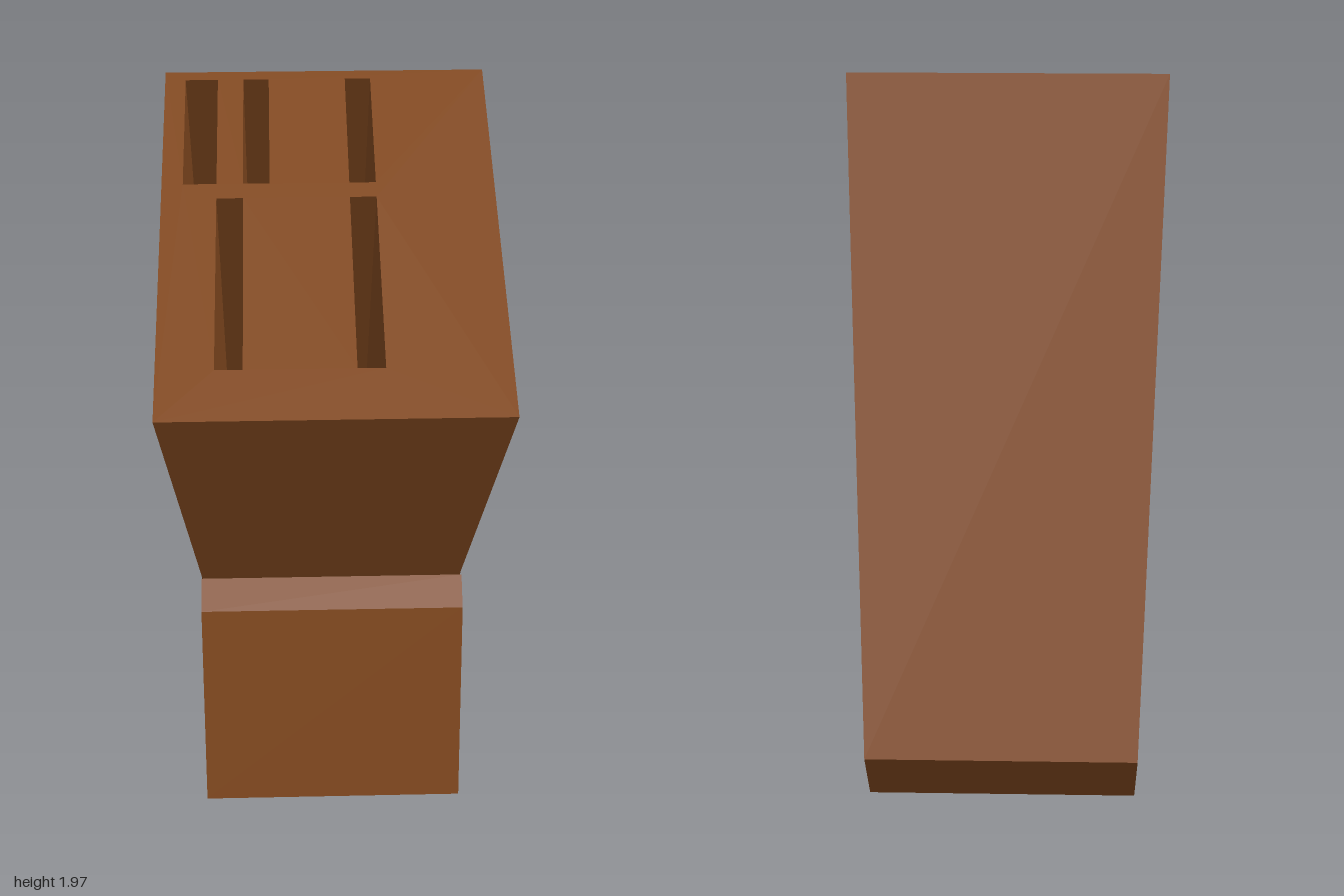
import * as THREE from 'three';

const wood = new THREE.MeshStandardMaterial({ color: 0x80481f, roughness: 0.8, flatShading: true });

// Flat-sided surface from a list of convex polygons (corners counter-clockwise)
function polygons(faces) {
  const pos = [];
  for (const f of faces)
    for (let i = 1; i < f.length - 1; i++) pos.push(...f[0], ...f[i], ...f[i + 1]);
  const g = new THREE.BufferGeometry();
  g.setAttribute('position', new THREE.Float32BufferAttribute(pos, 3));
  g.computeVertexNormals();
  return g;
}

// Prism from a (z, y) side profile, spanning -w..w in x
function prism(profile, w) {
  const shape = new THREE.Shape(profile.map(p => new THREE.Vector2(...p)));
  const g = new THREE.ExtrudeGeometry(shape, { depth: 2 * w, bevelEnabled: false });
  return g.rotateY(-Math.PI / 2).translate(w, 0, 0);
}

function add(group, name, geometry) {
  const m = new THREE.Mesh(geometry, wood);
  m.name = name;
  group.add(m);
}

// Sloping top: height as a function of z
const TOP = { w: 0.47, front: 1, back: -0.16, yFront: 1.48, yBack: 1.97 };
const topY = z => TOP.yFront + (TOP.front - z) * (TOP.yBack - TOP.yFront) / (TOP.front - TOP.back);

// Knife slots: x0, x1, z0, z1 on the top face
const slots = [
  [-0.41, -0.315, -0.13, 0.25],
  [-0.24, -0.165, -0.13, 0.25],
  [0.06, 0.135, -0.13, 0.25],
  [-0.315, -0.24, 0.30, 0.85],
  [0.06, 0.135, 0.30, 0.85],
];
const corners = ([x0, x1, z0, z1]) => [[x0, z1], [x1, z1], [x1, z0], [x0, z0]];

export function createModel() {
  const group = new THREE.Group();
  group.name = 'knifeBlock';

  // Leaning body: side outline as [halfWidth, y, z], wider toward the top
  const ring = [
    [TOP.w, TOP.yFront, TOP.front],
    [0.385, 0.69, 0.61],
    [0.385, 0, 0.26],
    [0.385, 0, -0.88],
    [0.385, 0.19, -1],
    [TOP.w, TOP.yBack, TOP.back],
  ];
  const flip = ([x, y, z]) => [-x, y, z];
  const faces = [];
  for (const t of [[0, 1, 5], [1, 4, 5], [1, 2, 4], [2, 3, 4]]) {
    const f = t.map(i => ring[i]);
    faces.push(f, f.map(flip).reverse());
  }
  for (let i = 0; i < ring.length - 1; i++) {
    const p = ring[i], q = ring[i + 1];
    faces.push([p, flip(p), flip(q), q]);
  }
  add(group, 'body', polygons(faces));

  // Top face with slot openings, laid flat then lifted to the slope
  const toShape = pts => pts.map(([x, z]) => new THREE.Vector2(x, -z));
  const top = new THREE.Shape(toShape(corners([-TOP.w, TOP.w, TOP.back, TOP.front])));
  for (const s of slots) top.holes.push(new THREE.Path(toShape(corners(s)).reverse()));
  const topGeo = new THREE.ShapeGeometry(top).rotateX(-Math.PI / 2);
  const p = topGeo.attributes.position;
  for (let i = 0; i < p.count; i++) p.setY(i, topY(p.getZ(i)));
  topGeo.computeVertexNormals();
  add(group, 'topFace', topGeo);

  // Slot walls and floors running down along the lean of the body
  const drop = [0, -0.81, -0.39];
  const slotFaces = [];
  for (const s of slots) {
    const rim = corners(s).map(([x, z]) => [x, topY(z), z]);
    const floor = rim.map(v => v.map((c, i) => c + drop[i]));
    for (let i = 0; i < 4; i++) {
      const j = (i + 1) % 4;
      slotFaces.push([rim[i], rim[j], floor[j], floor[i]]);
    }
    slotFaces.push(floor);
  }
  add(group, 'knifeSlots', polygons(slotFaces));

  // Front support wedge and the recessed joint behind it
  add(group, 'frontSupport', prism([[0.33, 0], [0.825, 0], [0.705, 0.63], [0.637, 0.7]], 0.385));
  add(group, 'joint', prism([[0.25, 0.02], [0.345, 0.02], [0.63, 0.66], [0.58, 0.66]], 0.36));

  return group;
}
